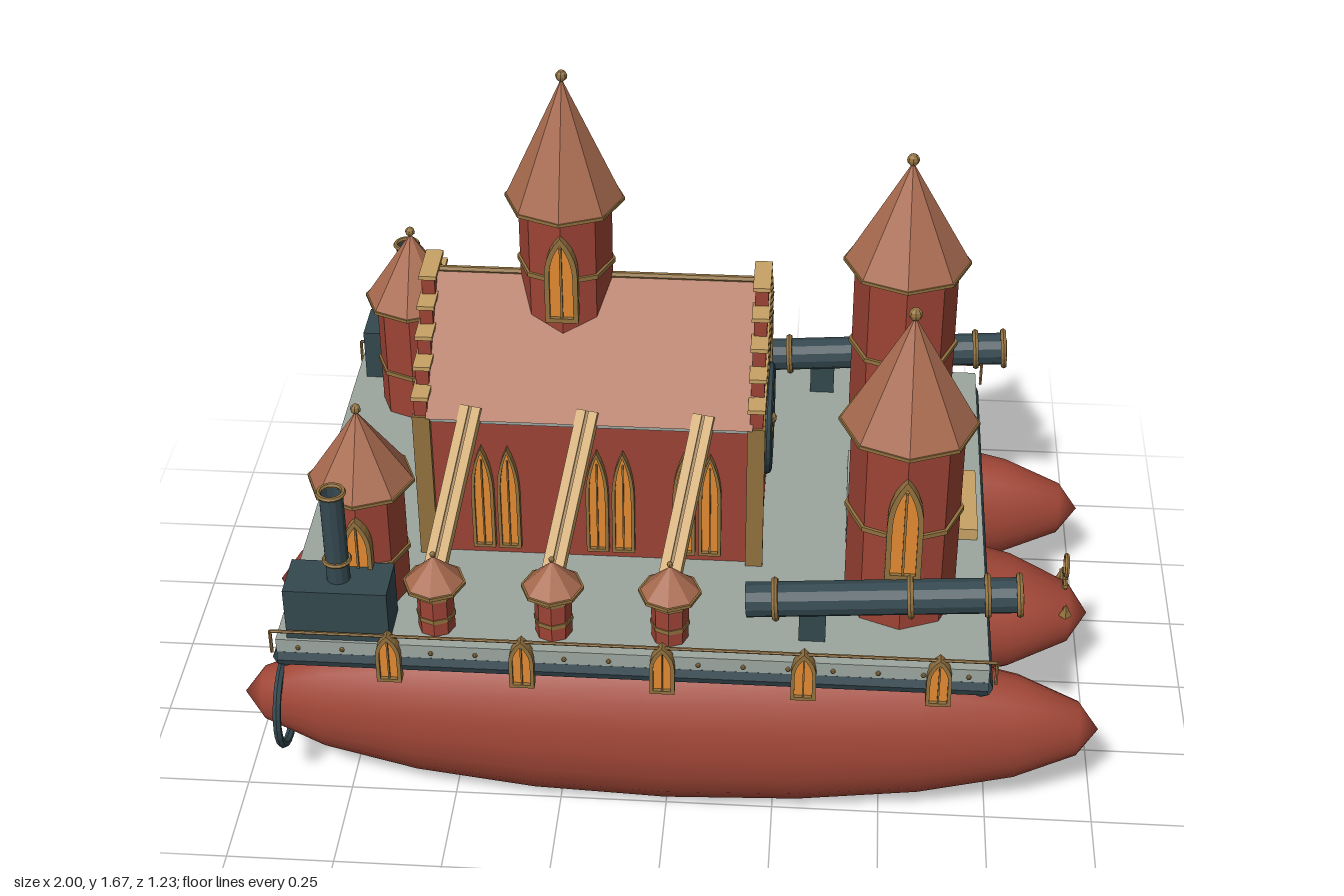
import * as THREE from 'three';

const mat = (color, flat = true) => new THREE.MeshStandardMaterial({ color, flatShading: flat, side: THREE.DoubleSide });
const BRICK = mat(0x9c4334), HULL = mat(0xa04636, false), ROOF = mat(0xa96b4f), GOLD = mat(0x92713f), TAN = mat(0xc8a264),
  GLOW = mat(0xe28a32), DECK = mat(0x9ca69f), IRON = mat(0x34484f);

export function createModel() {
  const root = new THREE.Group();
  root.name = 'floatingFortress';

  const add = (name, geo, m, x = 0, y = 0, z = 0, parent = root) => {
    const mesh = new THREE.Mesh(geo, m);
    mesh.name = name;
    mesh.position.set(x, y, z);
    parent.add(mesh);
    return mesh;
  };
  const box = (name, m, x0, x1, y0, y1, z0, z1, parent = root) =>
    add(name, new THREE.BoxGeometry(x1 - x0, y1 - y0, z1 - z0), m, (x0 + x1) / 2, (y0 + y1) / 2, (z0 + z1) / 2, parent);
  const group = (name, x = 0, y = 0, z = 0) => {
    const g = new THREE.Group();
    g.name = name;
    g.position.set(x, y, z);
    root.add(g);
    return g;
  };
  // rod between two points
  const rod = (name, m, a, b, r, parent = root, sides = 6) => {
    const A = new THREE.Vector3(...a), B = new THREE.Vector3(...b), d = B.clone().sub(A);
    const mesh = add(name, new THREE.CylinderGeometry(r, r, d.length(), sides), m, 0, 0, 0, parent);
    mesh.position.copy(A).add(B).multiplyScalar(0.5);
    mesh.quaternion.setFromUnitVectors(new THREE.Vector3(0, 1, 0), d.normalize());
    return mesh;
  };

  // pointed arch outline standing on y = 0
  const arch = (C, w, h) => {
    const s = new C(), r = w / 2, k = h * 0.55;
    s.moveTo(-r, 0);
    s.lineTo(r, 0);
    s.lineTo(r, k);
    s.quadraticCurveTo(r, h * 0.8, 0, h);
    s.quadraticCurveTo(-r, h * 0.8, -r, k);
    s.lineTo(-r, 0);
    return s;
  };
  // glowing pane in a gold frame, facing the s side
  const lancet = (x, y, z, w, h, s, parent = root) => {
    const g = new THREE.Group();
    g.name = 'lancetWindow';
    g.position.set(x, y, z);
    if (s < 0) g.rotation.y = Math.PI;
    const t = w * 0.15;
    const frame = arch(THREE.Shape, w, h);
    const hole = arch(THREE.Path, w - 2 * t, h - 2.6 * t).getPoints(5).map(p => p.add(new THREE.Vector2(0, t)));
    frame.holes.push(new THREE.Path(hole));
    add('windowFrame', new THREE.ExtrudeGeometry(frame, { depth: 0.026, bevelEnabled: false, curveSegments: 5 }), GOLD, 0, 0, -0.013, g);
    add('windowPane', new THREE.ExtrudeGeometry(arch(THREE.Shape, w * 0.9, h * 0.95), { depth: 0.016, bevelEnabled: false, curveSegments: 5 }), GLOW, 0, 0, -0.012, g);
    add('mullion', new THREE.BoxGeometry(w * 0.07, h * 0.85, 0.01), GOLD, 0, h * 0.45, 0.006, g);
    parent.add(g);
  };

  // octagonal tower with cone roof, finial and gold bands
  const tower = (name, x, z, r, y0, y1, roofR, y2, bands) => {
    const g = group(name, x, 0, z);
    add('towerBody', new THREE.CylinderGeometry(r, r, y1 - y0, 8), BRICK, 0, (y0 + y1) / 2, 0, g);
    add('towerRoof', new THREE.ConeGeometry(roofR, y2 - y1, 8), ROOF, 0, (y1 + y2) / 2, 0, g);
    add('eaveBand', new THREE.CylinderGeometry(roofR * 1.01, roofR * 1.01, 0.008, 8), GOLD, 0, y1, 0, g);
    add('finial', new THREE.SphereGeometry(roofR * 0.1, 8, 6), GOLD, 0, y2 + 0.006, 0, g);
    for (const y of bands) add('band', new THREE.CylinderGeometry(r * 1.06, r * 1.06, 0.011, 8), GOLD, 0, y, 0, g);
    return g;
  };

  // three floats with an iron ring around each tail
  for (const [z, rz] of [[-0.43, 0.168], [0, 0.25], [0.43, 0.168]]) {
    const geo = new THREE.SphereGeometry(1, 20, 10).rotateZ(Math.PI / 2).scale(1, 0.226, rz);
    add('float', geo, HULL, 0, 0.235, z);
    add('tailRing', new THREE.TorusGeometry(0.106, 0.01, 6, 24).rotateY(Math.PI / 2), IRON, -0.905, 0.215, z);
  }

  // deck with tubular edge
  const X0 = -0.88, X1 = 0.735;
  box('deckTop', DECK, X0 + 0.01, X1 - 0.01, 0.5, 0.535, -0.595, 0.595);
  box('deckUnderside', IRON, X0 + 0.02, X1 - 0.02, 0.455, 0.5, -0.58, 0.58);
  for (const s of [1, -1]) {
    rod('sideTube', IRON, [X0 + 0.01, 0.48, s * 0.575], [X1 - 0.01, 0.48, s * 0.575], 0.026, root, 8);
    const x = s > 0 ? X1 - 0.025 : X0 + 0.025;
    rod('endTube', IRON, [x, 0.48, -0.59], [x, 0.48, 0.59], 0.026, root, 8);
    // hand rail with posts
    rod('handRail', GOLD, [X0, 0.56, s * 0.597], [X1 + 0.005, 0.56, s * 0.597], 0.004);
    for (const px of [X0, X1 + 0.005]) rod('railPost', GOLD, [px, 0.5, s * 0.597], [px, 0.56, s * 0.597], 0.004);
    for (const wx of [-0.615, -0.315, 0, 0.315, 0.615]) lancet(wx, 0.44, s * 0.6, 0.056, 0.13, s);
    for (let i = 0; i < 16; i++) add('rivet', new THREE.SphereGeometry(0.006, 6, 4), GOLD, -0.82 + i * 0.1, 0.515, s * 0.597);
  }

  // great hall
  const hall = group('hall');
  box('hallWalls', BRICK, -0.555, 0.175, 0.535, 0.905, -0.24, 0.24, hall);
  box('cornice', DECK, -0.56, 0.18, 0.905, 0.922, -0.25, 0.25, hall);
  const gable = new THREE.Shape([[-0.262, 0.92], [0.262, 0.92], [0, 1.16]].map(p => new THREE.Vector2(...p)));
  add('hallRoof', new THREE.ExtrudeGeometry(gable, { depth: 0.74, bevelEnabled: false }).rotateY(Math.PI / 2), ROOF, -0.56, 0, 0, hall);
  rod('ridge', GOLD, [-0.56, 1.16, 0], [0.18, 1.16, 0], 0.008, hall);
  for (const x of [-0.572, 0.188]) {
    box('gableWall', BRICK, x - 0.014, x + 0.014, 0.535, 0.925, -0.25, 0.25, hall);
    for (let i = 0; i < 5; i++) {
      const w = 0.25 - i * 0.049, y = 0.92 + i * 0.05;
      box('gableStep', BRICK, x - 0.015, x + 0.015, y, y + 0.05, -w, w, hall);
      box('stepCap', TAN, x - 0.02, x + 0.02, y + 0.043, y + 0.053, -w - 0.006, w + 0.006, hall);
    }
    box('gableBand', GOLD, x - 0.019, x + 0.019, 0.903, 0.912, -0.25, 0.25, hall);
    for (const s of [1, -1]) box('cornerTrim', GOLD, x - 0.02, x + 0.02, 0.535, 0.92, s * 0.248 - 0.008, s * 0.248 + 0.008, hall);
  }
  for (const s of [1, -1])
    for (const x of [-0.41, -0.145, 0.055])
      for (const d of [-0.03, 0.03]) lancet(x + d, 0.56, s * 0.245, 0.052, 0.28, s, hall);

  // rose window on the bow gable
  const rose = group('roseWindow', 0.204, 0.78, 0);
  rose.rotation.y = Math.PI / 2;
  add('rosePane', new THREE.CylinderGeometry(0.115, 0.115, 0.012, 32).rotateX(Math.PI / 2), GLOW, 0, 0, 0, rose);
  add('roseOuterRing', new THREE.TorusGeometry(0.121, 0.012, 8, 32), IRON, 0, 0, 0.004, rose);
  add('roseInnerRing', new THREE.TorusGeometry(0.106, 0.006, 6, 32), GOLD, 0, 0, 0.008, rose);
  add('roseHub', new THREE.SphereGeometry(0.016, 10, 6), GOLD, 0, 0, 0.008, rose);
  for (let i = 0; i < 6; i++)
    add('roseSpoke', new THREE.BoxGeometry(0.21, 0.007, 0.012), GOLD, 0, 0, 0.006, rose).rotation.z = i * Math.PI / 6;

  // towers
  const spire = tower('centralTower', -0.26, 0, 0.106, 0.95, 1.36, 0.134, 1.655, [1.2]);
  for (const s of [1, -1]) {
    lancet(0, 1.1, s * 0.108, 0.075, 0.22, s, spire);
    const big = tower('bowTower', 0.525, s * 0.34, 0.126, 0.53, 1.02, 0.153, 1.29, [0.79]);
    lancet(0, 0.69, s * 0.13, 0.08, 0.265, s, big);
    const small = tower('sternTower', -0.69, s * 0.385, 0.095, 0.53, 0.84, 0.12, 1.02, [0.655]);
    lancet(0, 0.62, s * 0.1, 0.065, 0.18, s, small);

    // turrets and flying buttresses
    for (const x of [-0.515, -0.25, 0.012]) {
      tower('turret', x, s * 0.52, 0.042, 0.53, 0.66, 0.07, 0.73, [0.575, 0.635]);
      const a = new THREE.Vector3(x + 0.058, 0.94, s * 0.235), b = new THREE.Vector3(x - 0.005, 0.66, s * 0.49);
      const buttress = group('flyingButtress');
      buttress.position.copy(a).add(b).multiplyScalar(0.5);
      buttress.lookAt(b);
      const len = a.distanceTo(b);
      for (const d of [-0.014, 0.014]) add('buttressBeam', new THREE.BoxGeometry(0.021, 0.022, len), TAN, d, 0, 0, buttress);
      add('buttressCore', new THREE.BoxGeometry(0.012, 0.014, len), GOLD, 0, 0, 0, buttress);
    }

    // boiler and chimney
    box('boiler', IRON, -0.845, -0.612, 0.535, 0.668, s * 0.53 - 0.058, s * 0.53 + 0.058);
    add('chimney', new THREE.CylinderGeometry(0.027, 0.027, 0.24, 12, 1, true), IRON, -0.728, 0.785, s * 0.53);
    for (const y of [0.72, 0.902])
      add('chimneyRing', new THREE.TorusGeometry(0.028, 0.006, 6, 16).rotateX(Math.PI / 2), GOLD, -0.728, y, s * 0.53);

    // cannon, axis along its own x
    const cannon = group('cannon', 0.485, 0.653, s * 0.5);
    cannon.rotation.z = 0.075;
    add('barrel', new THREE.CylinderGeometry(0.04, 0.04, 0.61, 12).rotateZ(Math.PI / 2), IRON, 0, 0, 0, cannon);
    for (const x of [-0.24, 0.06, 0.23, 0.3])
      add('barrelRing', new THREE.TorusGeometry(0.043, 0.008, 6, 18).rotateY(Math.PI / 2), GOLD, x, 0, 0, cannon);
    add('muzzleGlow', new THREE.CylinderGeometry(0.022, 0.022, 0.01, 12).rotateZ(Math.PI / 2), GLOW, 0.304, 0, 0, cannon);
    box('cannonMount', IRON, 0.3, 0.36, 0.53, 0.62, s * 0.5 - 0.02, s * 0.5 + 0.02);
  }

  // steps before the hall
  box('dais', DECK, 0.4, 0.635, 0.53, 0.59, -0.15, 0.15);
  box('daisBench', TAN, 0.47, 0.54, 0.585, 0.604, -0.12, 0.12);
  box('frontStep', TAN, 0.64, 0.71, 0.53, 0.565, -0.12, 0.12);

  // anchor on the middle bow
  const anchor = group('anchor', 0.94, 0, 0);
  add('anchorRing', new THREE.TorusGeometry(0.025, 0.006, 6, 16).rotateY(Math.PI / 2), GOLD, 0, 0.378, 0, anchor);
  rod('anchorShank', GOLD, [0, 0.355, 0], [0, 0.27, 0], 0.007, anchor);
  rod('anchorStock', GOLD, [0, 0.335, -0.03], [0, 0.335, 0.03], 0.006, anchor);
  const arms = new THREE.QuadraticBezierCurve3(new THREE.Vector3(0, 0.305, -0.08), new THREE.Vector3(0, 0.235, 0), new THREE.Vector3(0, 0.305, 0.08));
  add('anchorArms', new THREE.TubeGeometry(arms, 12, 0.007, 6), GOLD, 0, 0, 0, anchor);
  for (const s of [1, -1]) add('anchorFluke', new THREE.ConeGeometry(0.016, 0.035, 4), GOLD, 0, 0.3, s * 0.075, anchor);

  return root;
}
